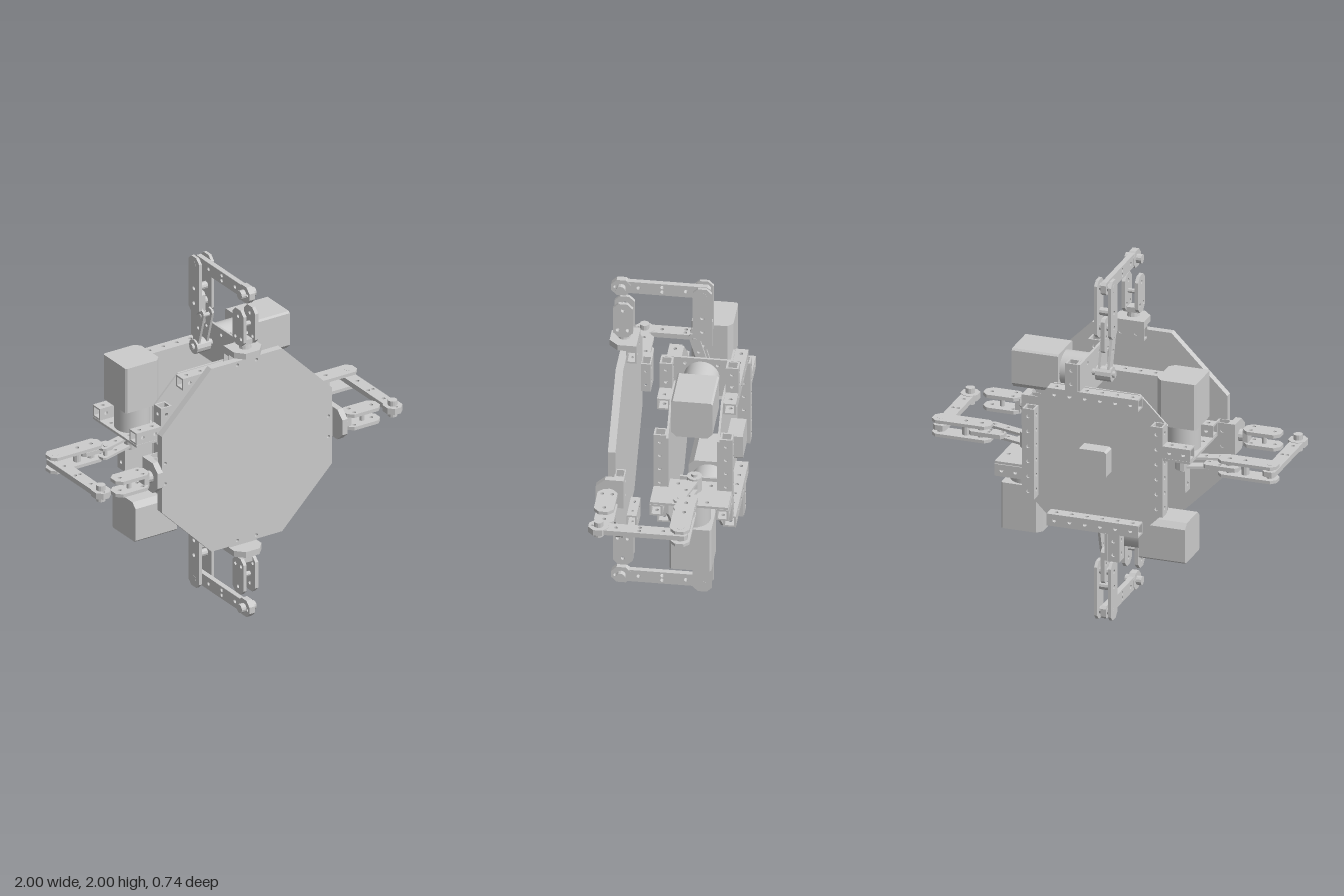
import * as THREE from 'three';
import { mergeGeometries } from 'three/addons/utils/BufferGeometryUtils.js';

const mat = new THREE.MeshStandardMaterial({ color: 0xcccccc, flatShading: true });
const smooth = new THREE.MeshStandardMaterial({ color: 0xcccccc });

function mesh(parent, name, geo, m = mat) {
  const o = new THREE.Mesh(geo, m);
  o.name = name;
  parent.add(o);
  return o;
}

// Flat outline with round holes [x, y, r], extruded by t and centred on its thickness
function sheet(pts, t, holes = []) {
  const s = new THREE.Shape(pts.map(p => new THREE.Vector2(p[0], p[1])));
  for (const [x, y, r] of holes) {
    const h = new THREE.Path();
    h.absarc(x, y, r, 0, Math.PI * 2, true);
    s.holes.push(h);
  }
  return new THREE.ExtrudeGeometry(s, { depth: t, bevelEnabled: false, curveSegments: 6 }).translate(0, 0, -t / 2);
}

// Outline given as (z, y), thickness along x, centred at x
const sheetX = (pts, t, x, holes) => sheet(pts, t, holes).rotateY(-Math.PI / 2).translate(x, 0, 0);

// Rectangle with chamfered corners
function chamfered(x0, x1, y0, y1, c) {
  return [[x0 + c, y0], [x1 - c, y0], [x1, y0 + c], [x1, y1 - c], [x1 - c, y1], [x0 + c, y1], [x0, y1 - c], [x0, y0 + c]];
}

const box = (x0, x1, y0, y1, z0, z1) => new THREE.BoxGeometry(x1 - x0, y1 - y0, z1 - z0)
  .translate((x0 + x1) / 2, (y0 + y1) / 2, (z0 + z1) / 2);

// Cylinder along x
const rod = (r, x0, x1, y, z, n = 16) => new THREE.CylinderGeometry(r, r, x1 - x0, n)
  .rotateZ(Math.PI / 2).translate((x0 + x1) / 2, y, z);

// Square tube along y with bolt holes in all four walls
function tube(len, w, n) {
  const t = 0.01, h = len / 2, holes = [];
  for (let i = 0; i < n; i++) holes.push([0, -h + len * (i + 0.5) / n, 0.011]);
  const walls = [];
  for (let k = 0; k < 4; k++) {
    const a = w / 2 - (k % 2 ? t : 0);
    walls.push(sheet([[-a, -h], [a, -h], [a, h], [-a, h]], t, holes).translate(0, 0, w / 2 - t / 2).rotateY(k * Math.PI / 2));
  }
  return mergeGeometries(walls);
}

// One quarter of the mechanism, at the top, with y measured from the centre
function sector() {
  const g = new THREE.Group();
  g.name = 'sector';

  // Frame tubes, front and back
  for (const z of [-0.3175, 0.046]) {
    mesh(g, 'frameTube', tube(0.53, 0.07, 6).rotateZ(Math.PI / 2).translate(0, 0.372, z));
    mesh(g, 'mountTube', tube(0.16, 0.07, 2).translate(0.122, 0.487, z));
  }

  // Motor mount, gearbox, body and shaft
  mesh(g, 'motorMount', sheetX([[-0.35, 0.41], [-0.27, 0.41], [-0.27, 0.33], [0, 0.33], [0, 0.41], [0.08, 0.41], [0.08, 0.567], [-0.35, 0.567]],
    0.014, 0.078, [[-0.23, 0.53, 0.011], [-0.05, 0.53, 0.011], [-0.23, 0.37, 0.011], [-0.05, 0.37, 0.011]]));
  mesh(g, 'motorBody', rod(0.098, 0.085, 0.24, 0.45, -0.142, 32), smooth);
  mesh(g, 'motorHousing', sheetX([[-0.227, 0.333], [-0.057, 0.333], [-0.027, 0.363], [-0.027, 0.555], [-0.037, 0.565],
    [-0.247, 0.565], [-0.257, 0.555], [-0.257, 0.363]], 0.27, 0.368));
  mesh(g, 'motorShaft', rod(0.018, -0.06, 0.09, 0.45, -0.15));
  mesh(g, 'shaftHub', rod(0.042, -0.045, 0.045, 0.45, -0.15, 12));

  // Crank: paired bars from the shaft out to the upright
  for (const x of [-0.027, 0.027]) {
    const crank = mesh(g, 'crank', sheetX(chamfered(-0.028, 0.028, -0.028, 0.25, 0.014), 0.014, x,
      [[0, 0.215, 0.01], [0, 0.13, 0.01]]));
    crank.position.set(0, 0.45, -0.155);
    crank.rotation.x = 0.28;
  }
  mesh(g, 'crankPin', rod(0.012, -0.04, 0.04, 0.655, -0.095, 8));

  // Upright: inner bar and two outer plates
  mesh(g, 'uprightFoot', sheetX(chamfered(-0.19, -0.115, 0.58, 0.78, 0.015), 0.024, 0,
    [[-0.14, 0.6, 0.01], [-0.165, 0.67, 0.01], [-0.135, 0.67, 0.01]]));
  for (const x of [-0.04, 0.04]) {
    mesh(g, 'uprightPlate', sheetX(chamfered(-0.192, -0.087, 0.66, 1, 0.028), 0.018, x,
      [[-0.14, 0.72, 0.012], [-0.14, 0.81, 0.012]]));
  }
  for (const y of [0.72, 0.81]) mesh(g, 'uprightSpacer', rod(0.022, -0.034, 0.034, y, -0.14, 10));
  mesh(g, 'elbowPin', rod(0.022, -0.05, 0.05, 0.955, -0.14, 10));

  // Long link reaching forward, with an eye at its end
  mesh(g, 'link', sheetX(chamfered(-0.18, 0.3, 0.918, 0.992, 0.015), 0.03, 0,
    [-0.045, 0.085, 0.215].flatMap(z => z === 0.085 ? [[z, 0.94, 0.011], [z, 0.97, 0.011]] : [[z, 0.955, 0.011]])));
  mesh(g, 'linkEye', sheetX(chamfered(0.255, 0.365, 0.902, 1, 0.03), 0.036, 0, [[0.345, 0.955, 0.008]]));
  mesh(g, 'linkEyePin', rod(0.026, -0.048, 0.048, 0.951, 0.31, 12));

  // Bracket on the edge of the platform
  mesh(g, 'edgeBracket', sheet([[-0.09, -0.217], [0.09, -0.217], [0.09, -0.32], [0.045, -0.37], [-0.045, -0.37], [-0.09, -0.32]].reverse(), 0.035)
    .rotateX(-Math.PI / 2).translate(0, 0.602, 0));
  mesh(g, 'edgeTube', tube(0.18, 0.08, 2).rotateZ(Math.PI / 2).scale(1, 1, 0.7).translate(0, 0.545, 0.245));
  mesh(g, 'clevisNeck', new THREE.CylinderGeometry(0.03, 0.036, 0.04, 12).translate(0, 0.632, 0.295));
  mesh(g, 'clevisBase', box(-0.04, 0.04, 0.645, 0.675, 0.265, 0.325));
  for (const x of [-0.038, 0.038]) {
    mesh(g, 'clevisPlate', sheetX(chamfered(0.242, 0.352, 0.645, 0.862, 0.03), 0.02, x,
      [[0.27, 0.69, 0.011], [0.325, 0.69, 0.011], [0.297, 0.82, 0.011]]));
  }
  mesh(g, 'clevisPin', rod(0.014, -0.046, 0.046, 0.76, 0.297, 8));
  return g;
}

export function createModel() {
  const model = new THREE.Group();
  model.name = 'tiltingPlatform';
  const body = new THREE.Group();
  body.name = 'mechanism';
  body.position.y = 1;
  model.add(body);

  // Octagonal front platform with two screw holes per side
  const holes = [];
  for (const a of [-0.062, 0.062]) for (const b of [-0.532, 0.532]) holes.push([a, b, 0.01], [b, a, 0.01]);
  mesh(body, 'platform', sheet(chamfered(-0.555, 0.555, -0.555, 0.555, 0.325), 0.042, holes).translate(0, 0, 0.291));

  // Two base plates between the frame tubes
  for (const z of [-0.276, 0.005]) {
    mesh(body, 'basePlate', sheet(chamfered(-0.41, 0.41, -0.41, 0.41, 0.16), 0.012).translate(0, 0, z));
  }

  // Central housing on the back
  mesh(body, 'centreHousing', sheet(chamfered(-0.085, 0.085, -0.08, 0.08, 0.012), 0.1).translate(0, 0, -0.317));

  for (let i = 0; i < 4; i++) {
    const s = sector();
    s.rotation.z = i * Math.PI / 2;
    body.add(s);
  }
  return model;
}
